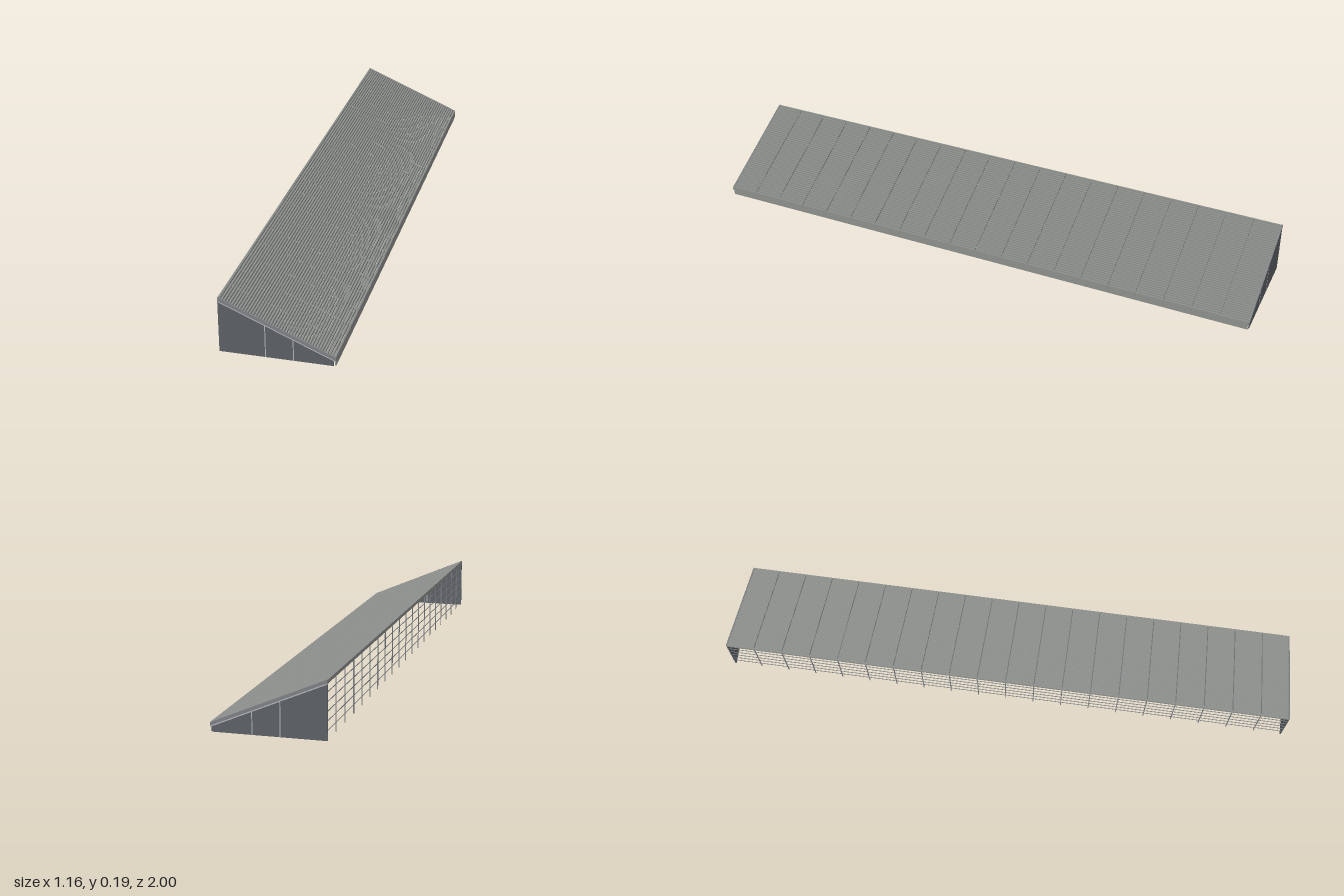
import * as THREE from 'three';
import { mergeGeometries } from 'three/addons/utils/BufferGeometryUtils.js';

const L = 2.02, W = 0.373, HIGH = 0.19, LOW = 0.03;
const SLOPE = (HIGH - LOW) / W;
const BAYS = 20, SLATS = 46;

// Height of the roof surface across the width (high side at -x)
const roofY = x => (HIGH + LOW) / 2 - SLOPE * x;

function material(name, color) {
  const m = new THREE.MeshStandardMaterial({ color });
  m.name = name;
  return m;
}

function box(w, h, d, x, y, z) {
  return new THREE.BoxGeometry(w, h, d).translate(x, y, z);
}

// Bar following the roof slope, its top lying `drop` below the roof surface
function slopedBar(thick, depth, drop, z) {
  const g = new THREE.BoxGeometry(W, thick, depth);
  const p = g.attributes.position;
  for (let i = 0; i < p.count; i++) {
    p.setY(i, p.getY(i) - thick / 2 - drop + roofY(p.getX(i)));
  }
  g.translate(0, 0, z);
  g.computeVertexNormals();
  return g;
}

export function createModel() {
  const model = new THREE.Group();
  const canopy = new THREE.Group();
  canopy.name = 'slattedCanopy';
  canopy.rotation.y = -0.4195;
  model.add(canopy);

  const slatGrey = material('slat grey', 0x8c8f8c);
  const frameGrey = material('frame grey', 0x7c7f82);
  const darkGrey = material('hanger dark grey', 0x3f4143);
  const wallGrey = material('wall blue grey', 0x5b5f64);
  const trimGrey = material('trim light grey', 0xb0b3b6);

  const add = (name, parts, mat) => {
    const mesh = new THREE.Mesh(mergeGeometries(parts), mat);
    mesh.name = name;
    canopy.add(mesh);
  };

  const bay = L / BAYS, pitch = W / SLATS;

  // Long roof slats, split at every bay
  const slats = [];
  for (let i = 0; i < SLATS; i++) {
    const x = -W / 2 + (i + 0.5) * pitch;
    for (let j = 0; j < BAYS; j++) {
      slats.push(box(pitch * 0.78, 0.007, bay - 0.003, x, roofY(x) - 0.0035, -L / 2 + (j + 0.5) * bay));
    }
  }
  add('roofSlats', slats, slatGrey);

  // Rafters under the joints and rims on both ends
  const rafters = [];
  for (let j = 1; j < BAYS; j++) rafters.push(slopedBar(0.005, 0.005, 0.007, -L / 2 + j * bay));
  for (const s of [-1, 1]) rafters.push(slopedBar(0.011, 0.005, 0, s * (L / 2 - 0.0025)));
  add('rafters', rafters, frameGrey);

  // Beams along the high and low edges, and the low front board
  add('edgeBeams', [
    box(0.005, 0.012, L, -W / 2 + 0.0025, HIGH - 0.007, 0),
    box(0.005, 0.011, L, W / 2 - 0.0025, LOW - 0.0055, 0),
  ], slatGrey);
  add('frontBoard', [box(0.004, 0.019, L - 0.01, W / 2 - 0.002, 0.0095, 0)], slatGrey);

  // End walls of three panels, with light joint strips and a light top trim
  const cuts = [0, 0.4, 0.64, 0.98], walls = [], trims = [];
  for (const s of [-1, 1]) {
    const z = s * (L / 2 - 0.003);
    for (let k = 0; k < 3; k++) {
      const a = -W / 2 + cuts[k] * W + (k ? 0.0015 : 0);
      const b = -W / 2 + cuts[k + 1] * W - (k < 2 ? 0.0015 : 0);
      const shape = new THREE.Shape();
      shape.moveTo(a, 0);
      shape.lineTo(b, 0);
      shape.lineTo(b, roofY(b) - 0.015);
      shape.lineTo(a, roofY(a) - 0.015);
      const g = new THREE.ExtrudeGeometry(shape, { depth: 0.004, bevelEnabled: false });
      walls.push(g.translate(0, 0, z - 0.002));
      if (k) {
        const x = -W / 2 + cuts[k] * W, h = roofY(x) - 0.014;
        trims.push(box(0.003, h, 0.005, x, h / 2, z));
      }
    }
    trims.push(slopedBar(0.004, 0.005, 0.011, z));
  }
  add('endWalls', walls, wallGrey);
  add('wallTrims', trims, trimGrey);

  // Open wire screen on the high side
  const screen = [], backX = -W / 2 + 0.003;
  for (let j = 1; j < BAYS; j++) {
    screen.push(box(0.003, HIGH - 0.012, 0.003, backX, (HIGH - 0.012) / 2, -L / 2 + j * bay));
  }
  for (let k = 1; k <= 5; k++) screen.push(box(0.002, 0.002, L - 0.01, backX, k * 0.03, 0));
  add('rearScreen', screen, frameGrey);

  // Short hangers below the rafters
  const hangers = [];
  for (const x of [-0.09, 0, 0.09]) {
    for (let j = 1; j < BAYS; j += 2) {
      hangers.push(box(0.003, 0.04, 0.003, x, roofY(x) - 0.032, -L / 2 + j * bay));
    }
  }
  add('hangers', hangers, darkGrey);

  return model;
}
